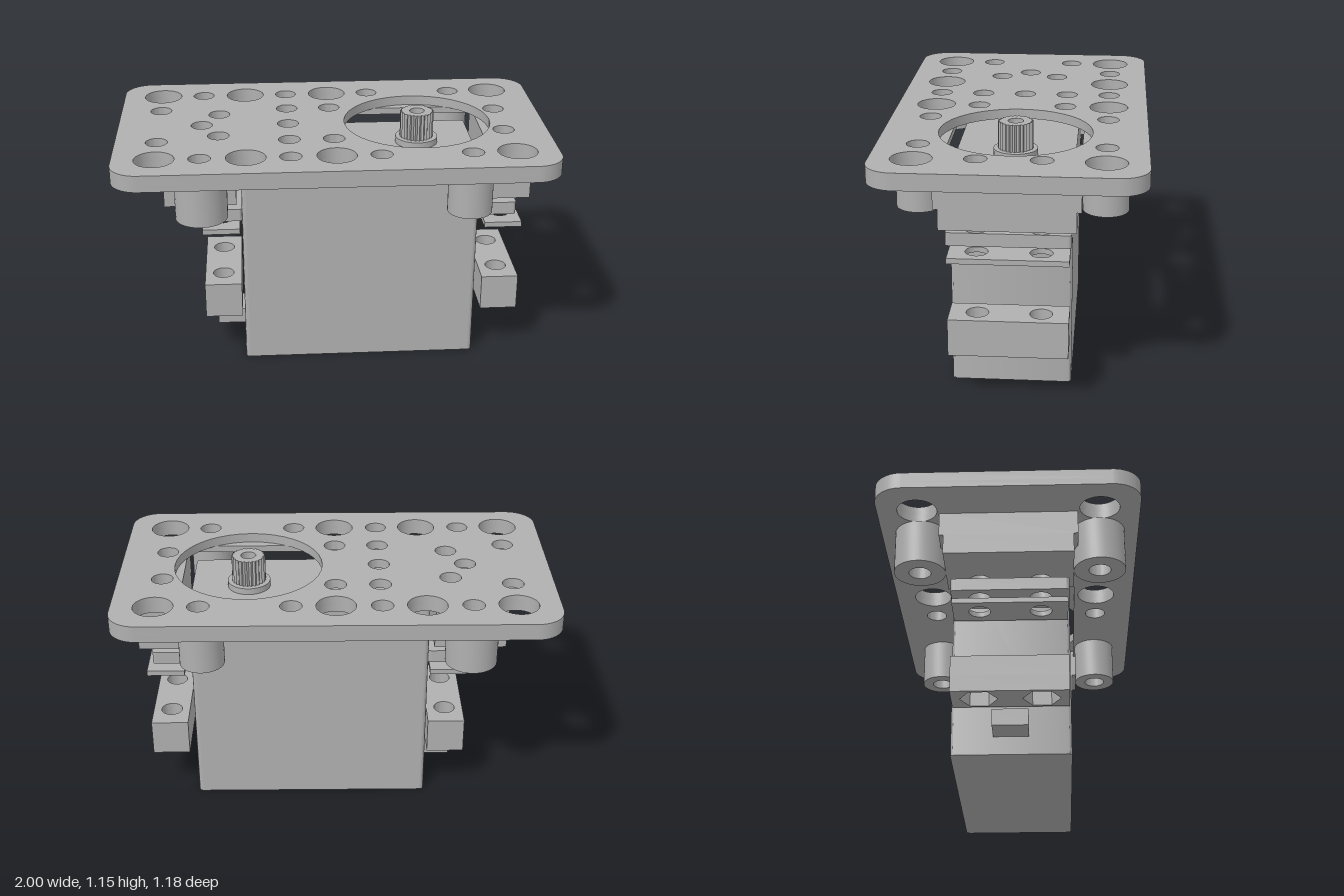
import * as THREE from 'three';
import { toCreasedNormals } from 'three/addons/utils/BufferGeometryUtils.js';

const grey = new THREE.MeshStandardMaterial({ color: 0xb0b0b0 });
grey.name = 'plainGrey';

// Rectangle with rounded corners, in plan (x, z)
function plate(x0, x1, halfZ, r, Cls = THREE.Shape) {
  const s = new Cls();
  if (!r) {
    s.moveTo(x0, -halfZ); s.lineTo(x1, -halfZ); s.lineTo(x1, halfZ); s.lineTo(x0, halfZ);
    s.closePath();
    return s;
  }
  s.absarc(x1 - r, -halfZ + r, r, -Math.PI / 2, 0);
  s.absarc(x1 - r, halfZ - r, r, 0, Math.PI / 2);
  s.absarc(x0 + r, halfZ - r, r, Math.PI / 2, Math.PI);
  s.absarc(x0 + r, -halfZ + r, r, Math.PI, Math.PI * 1.5);
  s.closePath();
  return s;
}

function disc(x, z, r, Cls = THREE.Shape) {
  const s = new Cls();
  s.absarc(x, z, r, 0, Math.PI * 2);
  return s;
}
const hole = (x, z, r) => disc(x, z, r, THREE.Path);

// Six-sided nut pocket
function hexHole(x, z, r) {
  const pts = [];
  for (let i = 0; i < 6; i++) {
    const a = (i * Math.PI) / 3 + Math.PI / 6;
    pts.push(new THREE.Vector2(x + r * Math.cos(a), z + r * Math.sin(a)));
  }
  return new THREE.Path(pts);
}

// Extrude a plan shape upward from y0 to y1
function slab(group, name, shape, y0, y1, holes = [], smooth = 0.6) {
  shape.holes.push(...holes);
  let geo = new THREE.ExtrudeGeometry(shape, { depth: y1 - y0, bevelEnabled: false, curveSegments: 20 });
  geo.rotateX(-Math.PI / 2);
  geo.translate(0, y0, 0);
  if (smooth) geo = toCreasedNormals(geo, smooth);
  const mesh = new THREE.Mesh(geo, grey);
  mesh.name = name;
  group.add(mesh);
  return mesh;
}

const pair = (x, z, r) => [hole(x, z, r), hole(x, -z, r)];

export function createModel() {
  const model = new THREE.Group();
  model.name = 'servoMount';

  // Mounting plate: lower layer has a body pocket, upper layer a round window and blind holes
  const through = () => [
    ...[-0.81, -0.405, 0, 0.81].flatMap((x) => pair(x, 0.41, 0.09)),
    ...[-0.61, -0.205, 0.2, 0.61].flatMap((x) => pair(x, 0.41, 0.05)),
    ...[-0.53, 0.795].flatMap((x) => pair(x, 0.14, 0.05)),
  ];
  const plateGroup = new THREE.Group();
  plateGroup.name = 'mountingPlate';
  model.add(plateGroup);
  slab(plateGroup, 'plateLowerLayer', plate(-1, 1, 0.592, 0.13), 1.028, 1.06,
    [...through(), plate(-0.46, 0.71, 0.3, 0, THREE.Path)]);
  slab(plateGroup, 'plateUpperLayer', plate(-1, 1, 0.592, 0.13), 1.06, 1.105, [
    ...through(),
    ...[-0.81, -0.205, 0].flatMap((x) => pair(x, 0.205, 0.05)),
    hole(-0.61, 0, 0.05), hole(-0.205, 0, 0.05),
    hole(0.405, 0, 0.345),
  ]);

  // Round standoffs under the plate
  for (const z of [-0.41, 0.41]) {
    slab(model, 'leftStandoff', disc(0.605, z, 0.102), 0.822, 1.028, [hole(0.605, z, 0.05)]);
    slab(model, 'rightStandoff', disc(-0.61, z, 0.118), 0.822, 1.028, [hole(-0.61, z, 0.05)]);
  }

  // Parts repeated at both ends of the servo
  const ends = [
    { side: 'left', x: 0.795, mount: [0.71, 0.905], tab: [0.67, 0.85] },
    { side: 'right', x: -0.53, mount: [-0.785, -0.455], tab: [-0.61, -0.43] },
  ];
  for (const e of ends) {
    const g = new THREE.Group();
    g.name = e.side + 'End';
    model.add(g);
    const holes = () => pair(e.x, 0.14, 0.05);
    slab(g, 'mountLower', plate(...e.mount, 0.292), 0.822, 0.915, holes());
    slab(g, 'mountUpper', plate(...e.mount, 0.312), 0.915, 1.028, holes());
    slab(g, 'servoTab', plate(...e.tab, 0.27, 0.015), 0.73, 0.79, holes());
    const a = e.x - 0.0875, b = e.x + 0.0875;
    slab(g, 'washerPlate', plate(a, b, 0.263), 0.66, 0.685, holes());
    slab(g, 'nutBlockTop', plate(a, b, 0.263), 0.3, 0.396, holes());
    slab(g, 'nutBlockBottom', plate(a, b, 0.263), 0.225, 0.3,
      [hexHole(e.x, 0.14, 0.085), hexHole(e.x, -0.14, 0.085)]);
  }

  // Servo body and cable outlet
  slab(model, 'servoBody', plate(-0.432, 0.672, 0.27, 0.02), 0, 1.0);
  slab(model, 'cableOutlet', plate(-0.565, -0.43, 0.08), 0.085, 0.162);

  // Output shaft: collar and toothed spline with a screw hole
  slab(model, 'shaftCollar', disc(0.405, 0, 0.1), 1.0, 1.03);
  const teeth = [];
  for (let i = 0; i < 50; i++) {
    const a = (i * Math.PI * 2) / 50, r = i % 2 ? 0.07 : 0.079;
    teeth.push(new THREE.Vector2(0.405 + r * Math.cos(a), r * Math.sin(a)));
  }
  slab(model, 'outputSpline', new THREE.Shape(teeth), 1.03, 1.155, [hole(0.405, 0, 0.035)], 0);

  return model;
}
